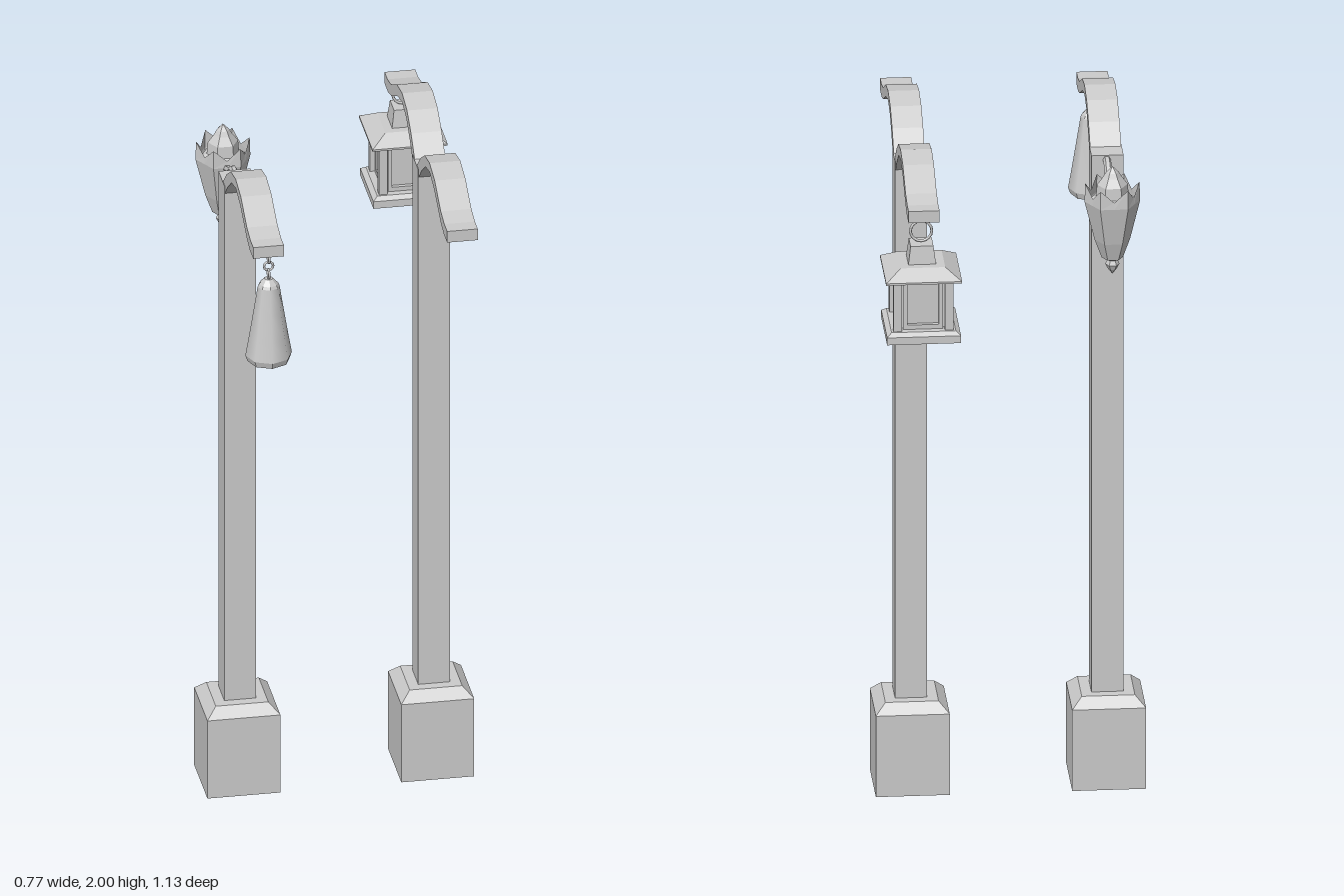
import * as THREE from 'three';

const flat = new THREE.MeshStandardMaterial({ color: 0xcccccc, flatShading: true });
const smooth = new THREE.MeshStandardMaterial({ color: 0xcccccc });
const thin = new THREE.MeshStandardMaterial({ color: 0xcccccc, flatShading: true, side: THREE.DoubleSide });

function add(parent, name, geometry, x = 0, y = 0, z = 0, material = flat) {
  const mesh = new THREE.Mesh(geometry, material);
  mesh.name = name;
  mesh.position.set(x, y, z);
  parent.add(mesh);
  return mesh;
}

function group(parent, name, x, y, z) {
  const g = new THREE.Group();
  g.name = name;
  g.position.set(x, y, z);
  parent.add(g);
  return g;
}

const box = (w, h, d) => new THREE.BoxGeometry(w, h, d);
const lathe = (points, sides) =>
  new THREE.LatheGeometry(points.map(([r, y]) => new THREE.Vector2(r, y)), sides);

// Square block that tapers from one width to another
function taper(bottom, top, height) {
  return new THREE.CylinderGeometry(top * Math.SQRT1_2, bottom * Math.SQRT1_2, height, 4)
    .rotateY(Math.PI / 4);
}

// Curved square-section arm reaching along +z from the post
function armGeometry(width) {
  const top = [[0.018, 1.893], [0.075, 1.945], [0.138, 1.985], [0.215, 2.0], [0.295, 1.986],
    [0.39, 1.938], [0.445, 1.926], [0.49, 1.926]];
  const bottom = [[0.49, 1.891], [0.435, 1.891], [0.385, 1.905], [0.285, 1.955], [0.215, 1.972],
    [0.15, 1.956], [0.09, 1.912], [0.044, 1.868], [0.018, 1.86]];
  const shape = new THREE.Shape([...top, ...bottom].map(p => new THREE.Vector2(...p)));
  return new THREE.ExtrudeGeometry(shape, { depth: width, bevelEnabled: false })
    .rotateY(-Math.PI / 2).translate(width / 2, 0, 0);
}

// Square post with plinth and one arm for each given turn
function lampPost(parent, name, x, turns) {
  const g = group(parent, name, x, 0, 0.02);
  add(g, 'plinth', box(0.207, 0.244, 0.207), 0, 0.122, 0);
  add(g, 'plinthBevel', taper(0.207, 0.149, 0.029), 0, 0.2585, 0);
  add(g, 'post', box(0.09, 1.622, 0.09), 0, 1.082, 0);
  for (const turn of turns) add(g, 'arm', armGeometry(0.087)).rotation.y = turn;
}

// Bell-shaped lantern hanging from three chain links
function bellLantern(parent) {
  const g = group(parent, 'bellLantern', -0.28, 0, 0.498);
  for (let i = 0; i < 3; i++) {
    const link = add(g, 'chainLink', new THREE.TorusGeometry(0.013, 0.0035, 6, 12),
      0, 1.882 - i * 0.024, 0, smooth);
    link.rotation.y = i % 2 ? 0 : Math.PI / 2;
  }
  add(g, 'bellCap', lathe([[0.031, 1.796], [0.027, 1.804], [0.012, 1.82], [0, 1.82]], 8));
  add(g, 'bellShade', lathe([[0.066, 1.583], [0.056, 1.64], [0.043, 1.72], [0.031, 1.796]], 8),
    0, 0, 0, smooth);
  add(g, 'bellRim', lathe([[0, 1.565], [0.06, 1.565], [0.066, 1.583]], 8));
  add(g, 'bellBase', lathe([[0, 1.552], [0.022, 1.552], [0.028, 1.566]], 8));
}

// Small house-shaped lantern with framed windows
function houseLantern(parent) {
  const g = group(parent, 'houseLantern', 0.275, 0, -0.455);
  add(g, 'hangingRing', new THREE.TorusGeometry(0.03, 0.004, 6, 16), 0, 1.861, 0, smooth);
  add(g, 'roofCap', taper(0.078, 0.064, 0.055), 0, 1.8, 0);
  add(g, 'roof', taper(0.213, 0.125, 0.028), 0, 1.761, 0);
  add(g, 'roofEave', box(0.213, 0.006, 0.213), 0, 1.745, 0);
  add(g, 'lanternFloor', box(0.207, 0.022, 0.207), 0, 1.572, 0);
  add(g, 'floorBevel', taper(0.207, 0.18, 0.01), 0, 1.588, 0);
  add(g, 'windowCore', box(0.116, 0.16, 0.116), 0, 1.665, 0);
  for (const sx of [-1, 1]) for (const sz of [-1, 1])
    add(g, 'cornerPillar', box(0.024, 0.16, 0.024), sx * 0.072, 1.667, sz * 0.072);
  for (let i = 0; i < 4; i++) {
    const side = group(g, 'windowFrame', 0, 1.667, 0);
    side.rotation.y = i * Math.PI / 2;
    for (const s of [-1, 1]) {
      add(side, 'frameStile', box(0.012, 0.15, 0.014), s * 0.05, 0, 0.063);
      add(side, 'frameRail', box(0.1, 0.014, 0.014), 0, s * 0.068, 0.063);
    }
  }
}

// Six flared panels, each rising to points at its corners
function petalGeometry() {
  const rows = [[0.03, 1.665, 0], [0.05, 1.72, 0], [0.078, 1.835, 0], [0.076, 1.89, -0.035]];
  const pos = [], index = [];
  rows.forEach(([r, y, dip]) => {
    for (let i = 0; i < 12; i++) {
      const a = i * Math.PI / 6, mid = i % 2;
      const rad = mid ? r * Math.cos(Math.PI / 6) : r;
      pos.push(Math.cos(a) * rad, y + mid * dip, Math.sin(a) * rad);
    }
  });
  for (let j = 0; j < rows.length - 1; j++) for (let i = 0; i < 12; i++) {
    const a = j * 12 + i, b = j * 12 + (i + 1) % 12;
    index.push(a, a + 12, b, b, a + 12, b + 12);
  }
  const geo = new THREE.BufferGeometry();
  geo.setAttribute('position', new THREE.Float32BufferAttribute(pos, 3));
  geo.setIndex(index);
  geo.computeVertexNormals();
  return geo;
}

// Hexagonal lantern on a curved bracket behind the post
function hexLantern(parent) {
  const g = group(parent, 'hexLantern', -0.28, 0, -0.217);
  const turned = (name, points) => {
    add(g, name, lathe(points, 6).rotateY(Math.PI / 6));
  };
  add(g, 'petalPanels', petalGeometry(), 0, 0, 0, thin);
  turned('lanternCrown', [[0.066, 1.825], [0.062, 1.845], [0.046, 1.85], [0.043, 1.885],
    [0.026, 1.908], [0.018, 1.922], [0, 1.94]]);
  turned('bottomFinial', [[0, 1.615], [0.012, 1.63], [0.02, 1.645], [0.014, 1.658], [0.03, 1.667]]);
  const curve = new THREE.CatmullRomCurve3([[-0.01, 1.88], [-0.055, 1.879], [-0.1, 1.853], [-0.155, 1.83]]
    .map(([z, y]) => new THREE.Vector3(-0.28, y, z)));
  add(parent, 'lanternBracket', new THREE.TubeGeometry(curve, 10, 0.011, 6));
}

export function createModel() {
  const model = new THREE.Group();
  model.name = 'lampPosts';
  lampPost(model, 'singleArmPost', -0.282, [0]);
  lampPost(model, 'doubleArmPost', 0.268, [0, Math.PI]);
  bellLantern(model);
  houseLantern(model);
  hexLantern(model);
  return model;
}
